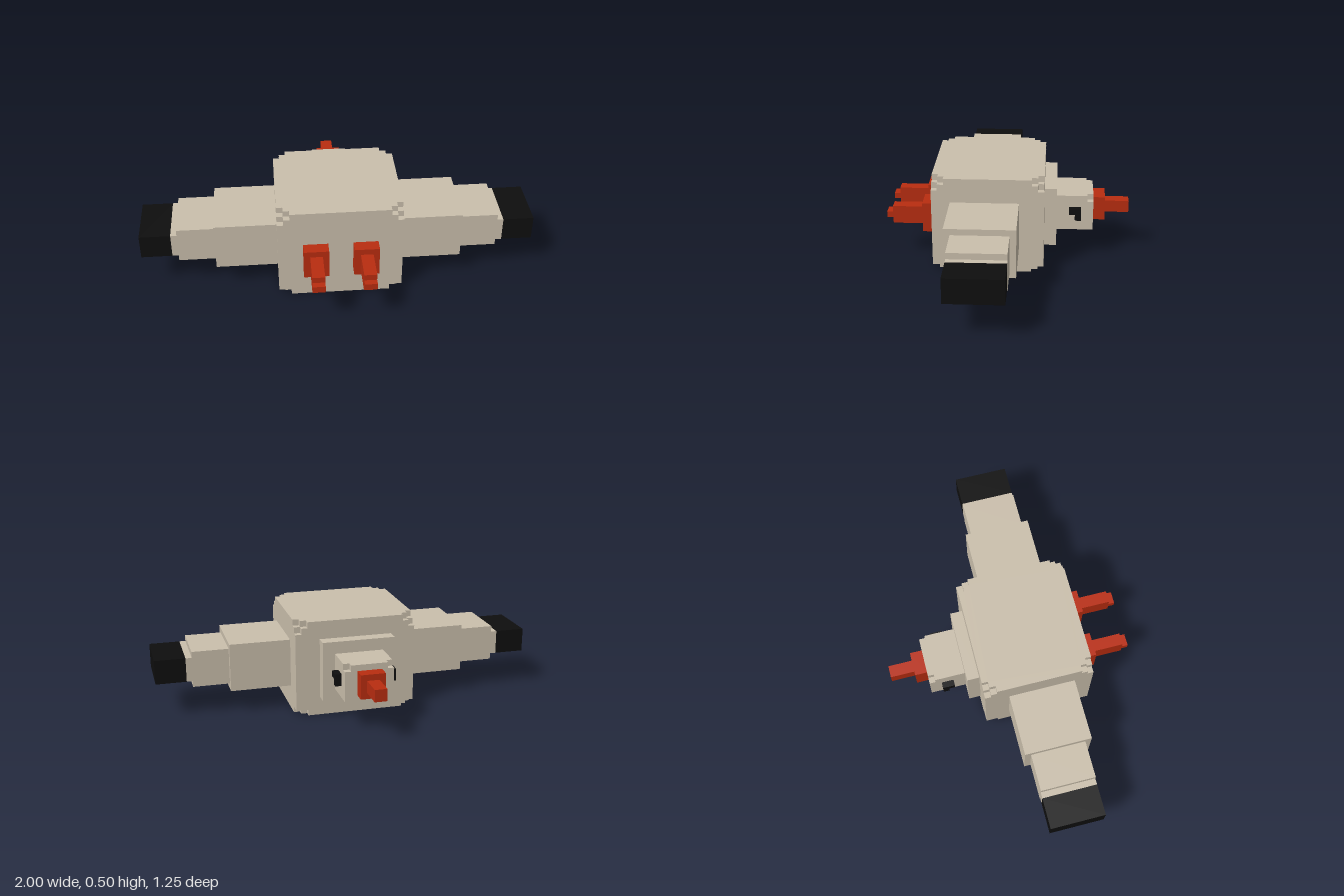
import * as THREE from 'three';

const U = 1 / 32; // one block unit

export function createModel() {
  const model = new THREE.Group();
  const hull = new THREE.MeshStandardMaterial({ color: 0xcabfac });
  const red = new THREE.MeshStandardMaterial({ color: 0xb92d10 });
  const black = new THREE.MeshStandardMaterial({ color: 0x0e0e0e });
  hull.name = 'beige hull';
  red.name = 'red';
  black.name = 'black';

  function add(name, geometry, material) {
    const mesh = new THREE.Mesh(geometry, material);
    mesh.name = name;
    model.add(mesh);
    return mesh;
  }

  // box from its limits, in block units
  function box(name, material, x0, x1, y0, y1, z0, z1) {
    const g = new THREE.BoxGeometry((x1 - x0) * U, (y1 - y0) * U, (z1 - z0) * U);
    g.translate((x0 + x1) / 2 * U, (y0 + y1) / 2 * U, (z0 + z1) / 2 * U);
    return add(name, g, material);
  }

  // the same box on both sides
  function pair(name, material, x0, x1, ...rest) {
    box(name + 'Left', material, x0, x1, ...rest);
    box(name + 'Right', material, -x1, -x0, ...rest);
  }

  // horizontal slab whose corners are stepped in by the given offsets
  function slab(name, w, h, zMid, y0, y1, corner) {
    const points = [];
    for (const [sx, sy] of [[1, 1], [-1, 1], [-1, -1], [1, -1]]) {
      const part = corner.map(([a, b]) => new THREE.Vector2(sx * (w - a) * U, sy * (h - b) * U));
      points.push(...(sx * sy > 0 ? part : part.reverse()));
    }
    const g = new THREE.ExtrudeGeometry(new THREE.Shape(points), { depth: (y1 - y0) * U, bevelEnabled: false });
    g.rotateX(-Math.PI / 2).translate(0, y0 * U, zMid * U);
    add(name, g, hull);
  }

  // main body with notched corners
  const single = [[0, 1], [1, 1], [1, 0]];
  const stepped = [[0, 2], [1, 2], [1, 1], [2, 1], [2, 0]];
  slab('bodyBottom', 10, 9, 3, 0, 1, stepped);
  slab('bodyMiddle', 10, 9, 3, 1, 14, [[0, 0]]);
  slab('bodyShoulder', 10, 9, 3, 14, 15, single);
  slab('bodyTop', 10, 9, 3, 15, 16, stepped);

  // side arms narrowing to black ends
  pair('innerArm', hull, 10, 20, 4, 12, -2, 9);
  pair('outerArm', hull, 20, 26, 5, 11, -1, 8);
  pair('armCollar', hull, 26, 27, 6, 10, -1, 8);
  pair('armEnd', black, 27, 32, 6, 10, -1, 8);

  // twin front nozzles
  pair('frontMount', red, 2, 6, 5, 10, 12, 14);
  pair('frontNozzle', red, 3, 5, 6, 9, 14, 19);
  pair('frontTip', red, 3, 5, 7, 8, 19, 20);

  // rear plate and housing, with its top corners notched
  box('rearPlate', hull, -6, 6, 3, 13, -8, -6);
  box('rearHousing', hull, -4, 4, 5, 10, -14, -8);
  box('rearHousingTop', hull, -4, 4, 10, 11, -13, -8);
  box('rearHousingTopEdge', hull, -3, 3, 10, 11, -14, -13);

  // rear nozzle
  box('rearMount', red, -2, 2, 6, 10, -16, -14);
  box('rearNozzle', red, -1, 1, 7, 9, -20, -16);

  // angled black fittings on the housing sides
  pair('sideFittingTop', black, 4, 5, 8, 9, -12, -10);
  pair('sideFittingFoot', black, 4, 5, 7, 8, -12, -11);

  return model;
}
